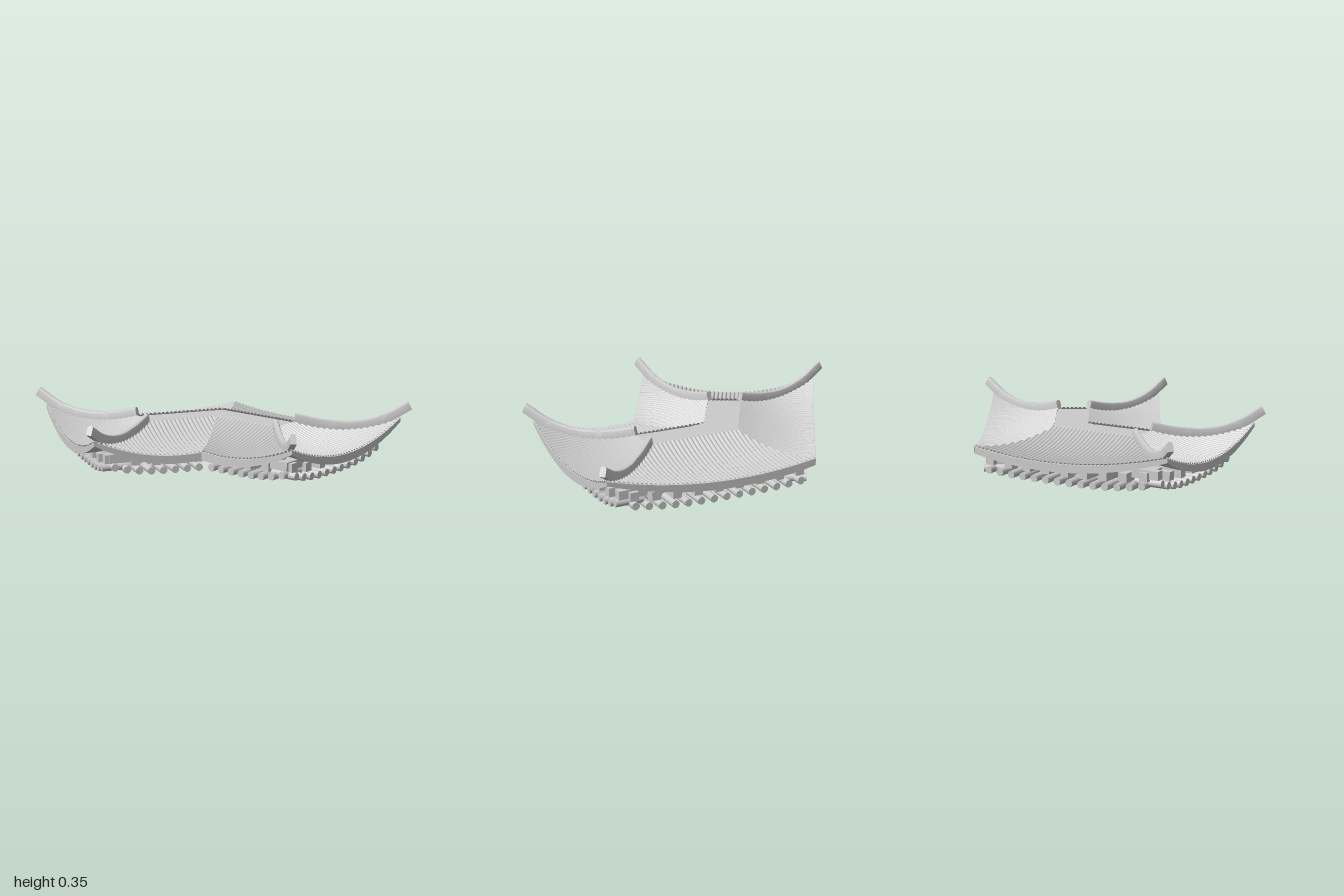
import * as THREE from 'three';
import { mergeVertices, toCreasedNormals } from 'three/addons/utils/BufferGeometryUtils.js';

const K = Math.tan(Math.PI / 6);        // mitre slope where the two wings meet at 120 degrees
const RIDGE = 0.1, EAVE = 0.54;         // half widths of the flat top and of the eaves
const TOP_END = 0.5, EAVE_END = 0.94;   // wing length at the flat top and at the eaves
const RIB = 0.026, RIB_R = 0.01;
const mat = new THREE.MeshStandardMaterial({ color: 0xcccccc, side: THREE.DoubleSide });
const lerp = THREE.MathUtils.lerp;

// Each slope: p = its limits along the flat top, q = its limits along the eave,
// low = where along the eave it hangs lowest, rafters = first and last rafter,
// tip = how far out the rafters reach
const slopes = [
  { name: 'outer', p: [-RIDGE * K, TOP_END], q: [-EAVE * K, EAVE_END], base: RIDGE, low: 0.36,
    at: (a, y, d) => [a, y, -d], rafters: [-0.25, 0.76], tip: 0.495 },
  { name: 'inner', p: [RIDGE * K, TOP_END], q: [EAVE * K, EAVE_END], base: RIDGE, low: 0.2,
    at: (a, y, d) => [a, y, d], rafters: [0.285, 0.79], tip: 0.425 },
  { name: 'end', p: [-RIDGE, RIDGE], q: [-EAVE, EAVE], base: TOP_END, low: 0.5,
    at: (a, y, d) => [d, y, a], rafters: [-0.43, 0.37], tip: 0.855 },
];

function add(group, name, geometry) {
  const mesh = new THREE.Mesh(geometry, mat);
  mesh.name = name;
  group.add(mesh);
  return mesh;
}

// Surface from a rule fn(u, v) -> [x, y, z]
function grid(n, m, fn) {
  const pos = [], idx = [];
  for (let i = 0; i <= n; i++) for (let j = 0; j <= m; j++) pos.push(...fn(i / n, j / m));
  for (let i = 0; i < n; i++) for (let j = 0; j < m; j++) {
    const a = i * (m + 1) + j, b = a + m + 1;
    idx.push(a, a + 1, b, b, a + 1, b + 1);
  }
  const g = new THREE.BufferGeometry();
  g.setAttribute('position', new THREE.Float32BufferAttribute(pos, 3));
  g.setIndex(idx);
  g.computeVertexNormals();
  return g;
}

// Upward curl of a slope: 0 at its lowest line, 1 at the hip corner
function curl(f, a, s) {
  const a0 = lerp(f.p[0], f.q[0], s), a1 = lerp(f.p[1], f.q[1], s);
  const t = THREE.MathUtils.clamp((a - a0) / (a1 - a0), 0, 1);
  return ((t - f.low) / (1 - f.low)) ** 2;
}

// Sagging roof height, s = 0 at the top and 1 at the eave
function roofY(f, a, s) {
  const c = curl(f, a, s);
  return lerp(0.234, 0.135 + 0.115 * c, s) - 4 * s * (1 - s) * (0.03 + 0.025 * c);
}

// Roof thickness, thinner towards the corners
const thickness = (f, a, s) => 0.045 - 0.022 * curl(f, a, s);

// One slope as columns running down the roof, cut at the hips and at the valley
function slopeSurface(f, ribbed) {
  const lo = Math.min(f.p[0], f.q[0]), hi = f.q[1];
  const ribs = Math.round((hi - lo) / RIB);
  return grid(ribs * (ribbed ? 8 : 1), 12, (u, v) => {
    const a = lerp(lo, hi, u);
    let s0 = 0, s1 = 1;
    if (a > f.p[1]) s0 = (a - f.p[1]) / (f.q[1] - f.p[1]);
    if (a < f.p[0]) s0 = (f.p[0] - a) / (f.p[0] - f.q[0]);
    if (a < f.q[0]) s1 = (a - f.p[0]) / (f.q[0] - f.p[0]);
    const s = lerp(s0, s1, v);
    const x = ((u * ribs) % 1 - 0.5) * RIB;
    const offset = ribbed ? Math.sqrt(Math.max(0, RIB_R * RIB_R - x * x)) : -thickness(f, a, s);
    return f.at(a, roofY(f, a, s) + offset, f.base + 0.44 * s);
  });
}

// Curved board closing the edge of the eave
function eaveBoard(f) {
  const profile = [[0.004, 0], [0.004, 1.04], [-0.02, 1.04], [-0.02, 0], [0.004, 0]];
  const g = grid(32, 4, (u, v) => {
    const a = lerp(f.q[0], f.q[1], u), [d, k] = profile[Math.round(v * 4)];
    return f.at(a, roofY(f, a, 1) - k * thickness(f, a, 1), f.base + 0.44 + d);
  });
  return toCreasedNormals(g, 0.6);
}

// Hip ridge: a round-topped section swept along a rising curve
function hipRidge(side) {
  const P = (u, v, y) => new THREE.Vector3(u, y, side * v);
  const curve = new THREE.CatmullRomCurve3([
    P(0.495, 0.095, 0.263), P(0.6, 0.2, 0.228), P(0.74, 0.337, 0.212), P(0.87, 0.467, 0.25), P(0.978, 0.577, 0.33)]);
  const section = [[-0.017, -0.032], [-0.017, 0.012], [-0.012, 0.021], [0, 0.025],
    [0.012, 0.021], [0.017, 0.012], [0.017, -0.032], [-0.017, -0.032]];
  const n = 24;
  const across = new THREE.Vector3(-side, 0, 1).normalize();
  const g = grid(n + 2, 7, (u, v) => {
    const i = Math.round(u * (n + 2));
    const t = THREE.MathUtils.clamp((i - 1) / n, 0, 1);
    const k = i === 0 || i === n + 2 ? 0 : 1;   // collapsed first and last rings cap the ends
    const tan = curve.getTangent(t);
    const up = tan.clone().cross(across);
    if (up.y < 0) up.negate();
    const [w, h] = section[Math.round(v * 7)];
    return curve.getPoint(t).addScaledVector(across, w * k).addScaledVector(up, h * k).toArray();
  });
  return toCreasedNormals(mergeVertices(g), 0.7);
}

// Flat board along the wing, mitred at the bend
function mitredBoard(v0, v1, end, top, depth) {
  const shape = new THREE.Shape([[v0 * K, v0], [end, v0], [end, v1], [v1 * K, v1]]
    .map(([x, y]) => new THREE.Vector2(x, y)));
  return new THREE.ExtrudeGeometry(shape, { depth, bevelEnabled: false })
    .rotateX(Math.PI / 2).translate(0, top, 0);
}

// Round rafter ends below, square rafter ends above, rising towards the corners
function addRafters(group, f) {
  const [a0, a1] = f.rafters;
  const length = 0.165;
  const round = new THREE.CylinderGeometry(0.022, 0.022, length, 14).rotateX(Math.PI / 2);
  const square = new THREE.BoxGeometry(0.05, 0.05, length);
  const row = (name, geo, step, y, lift, inset) => {
    const n = Math.round((a1 - a0) / step);
    for (let i = 0; i <= n; i++) {
      const a = lerp(a0, a1, i / n);
      const m = add(group, name, geo);
      m.position.set(...f.at(a, y + lift * curl(f, a, 0.82) ** 1.5, f.tip - length / 2 - inset));
      if (f.name === 'end') m.rotation.y = Math.PI / 2;
    }
  };
  row('roundRafter', round, 0.075, 0.022, 0.065, 0);
  row('squareRafter', square, 0.125, 0.077, 0.055, 0.015);
}

function makeWing(name) {
  const wing = new THREE.Group();
  wing.name = name;
  for (const f of slopes) {
    add(wing, f.name + 'Tiles', slopeSurface(f, true));
    add(wing, f.name + 'Soffit', slopeSurface(f, false));
    add(wing, f.name + 'EaveBoard', eaveBoard(f));
    addRafters(wing, f);
  }
  for (const side of [-1, 1]) add(wing, 'hipRidge', hipRidge(side));
  add(wing, 'flatTop', mitredBoard(-RIDGE, RIDGE, TOP_END, 0.23, 0.012));
  // Ceiling with beams that follow the bend
  add(wing, 'ceiling', mitredBoard(-0.36, 0.29, 0.72, 0.1, 0.06));
  for (let i = 0; i < 9; i++) {
    const v = -0.325 + i * 0.072;
    add(wing, 'ceilingBeam', mitredBoard(v - 0.018, v + 0.018, 0.7, 0.045, 0.02));
  }
  return wing;
}

export function createModel() {
  const model = new THREE.Group();
  model.name = 'bentHipRoof';
  const right = makeWing('straightWing');
  const left = makeWing('angledWing');
  // The second wing mirrors the first across the mitre line
  left.scale.z = -1;
  left.rotation.y = -Math.PI * 2 / 3;
  for (const wing of [right, left]) wing.position.set(0.004, 0, -0.28);
  model.add(right, left);
  return model;
}
